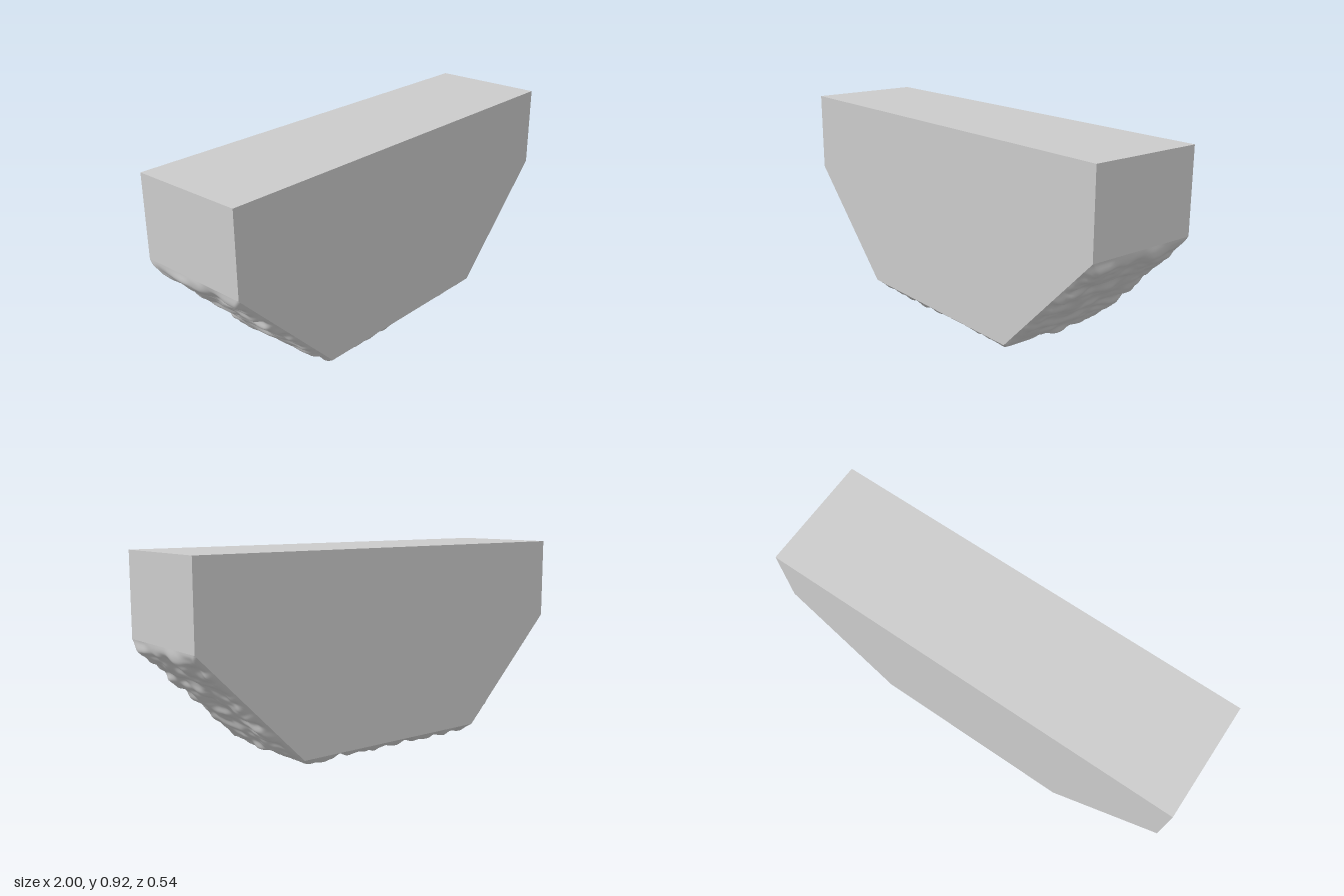
import * as THREE from 'three';

const DEPTH = 0.54, BASE = 0.045, SHOULDER = 0.545, TOP = 0.92, HALF = 1, FOOT = 0.5;

// Seeded lattice value and smooth noise between lattice points
function hash(i, j, seed) {
  let n = Math.imul(i, 374761393) ^ Math.imul(j, 668265263) ^ Math.imul(seed, 974634777);
  n = Math.imul(n ^ (n >>> 13), 1274126177);
  return ((n ^ (n >>> 16)) >>> 0) / 4294967295;
}

function noise(x, y, seed) {
  const i = Math.floor(x), j = Math.floor(y);
  const ease = (t) => t * t * t * (t * (t * 6 - 15) + 10);
  const u = ease(x - i), v = ease(y - j);
  const low = THREE.MathUtils.lerp(hash(i, j, seed), hash(i + 1, j, seed), u);
  const high = THREE.MathUtils.lerp(hash(i, j + 1, seed), hash(i + 1, j + 1, seed), u);
  return THREE.MathUtils.lerp(low, high, v);
}

// Rippled sheet facing down, flush with the body along its border
function ripplePanel(length, maxHeight, seed) {
  const geometry = new THREE.PlaneGeometry(length, DEPTH, Math.round(length * 150), 80);
  const p = geometry.attributes.position;
  const heights = [];
  for (let i = 0; i < p.count; i++) {
    const x = p.getX(i), y = p.getY(i);
    const bend = 0.05 * noise(x * 4 + 20, y * 5 + 20, seed + 7);
    const ripple = 0.75 * noise((x + bend) / 0.05 + 50, y / 0.1 + 50, seed)
      + 0.25 * noise(x / 0.03 + 90, y / 0.06 + 90, seed + 3);
    const border = Math.min(length / 2 - Math.abs(x), DEPTH / 2 - Math.abs(y));
    const rim = Math.sin(Math.min(Math.max(border, 0) / 0.045, 1) * Math.PI / 2);
    heights.push(rim * (0.15 + 0.85 * ripple));
  }
  const peak = heights.reduce((a, b) => Math.max(a, b), 0);
  heights.forEach((h, i) => p.setZ(i, (h / peak) * maxHeight));
  geometry.rotateX(Math.PI / 2);
  geometry.computeVertexNormals();
  return geometry;
}

export function createModel() {
  const model = new THREE.Group();
  model.name = 'rockBlock';
  const material = new THREE.MeshStandardMaterial({ color: 0xcccccc });
  const panelMaterial = new THREE.MeshStandardMaterial({ color: 0xcccccc, side: THREE.DoubleSide });

  // Flat-sided block with two bevelled lower corners
  const outline = new THREE.Shape([
    [-FOOT, BASE], [FOOT, BASE], [HALF, SHOULDER], [HALF, TOP], [-HALF, TOP], [-HALF, SHOULDER],
  ].map(([x, y]) => new THREE.Vector2(x, y)));
  const bodyGeometry = new THREE.ExtrudeGeometry(outline, { depth: DEPTH, bevelEnabled: false });
  bodyGeometry.translate(0, 0, -DEPTH / 2);
  const body = new THREE.Mesh(bodyGeometry, material);
  body.name = 'body';
  model.add(body);

  // Rough underside
  const underside = new THREE.Mesh(ripplePanel(2 * FOOT, BASE, 11), panelMaterial);
  underside.name = 'roughUnderside';
  underside.position.y = BASE;
  model.add(underside);

  // Rough slopes at both ends
  const rise = SHOULDER - BASE, run = HALF - FOOT;
  for (const [side, name] of [[1, 'leftRoughSlope'], [-1, 'rightRoughSlope']]) {
    const slope = new THREE.Mesh(ripplePanel(Math.hypot(rise, run), 0.037, 30 + side * 5), panelMaterial);
    slope.name = name;
    slope.position.set(side * (FOOT + HALF) / 2, (BASE + SHOULDER) / 2, 0);
    slope.rotation.z = side * Math.atan2(rise, run);
    model.add(slope);
  }
  return model;
}
